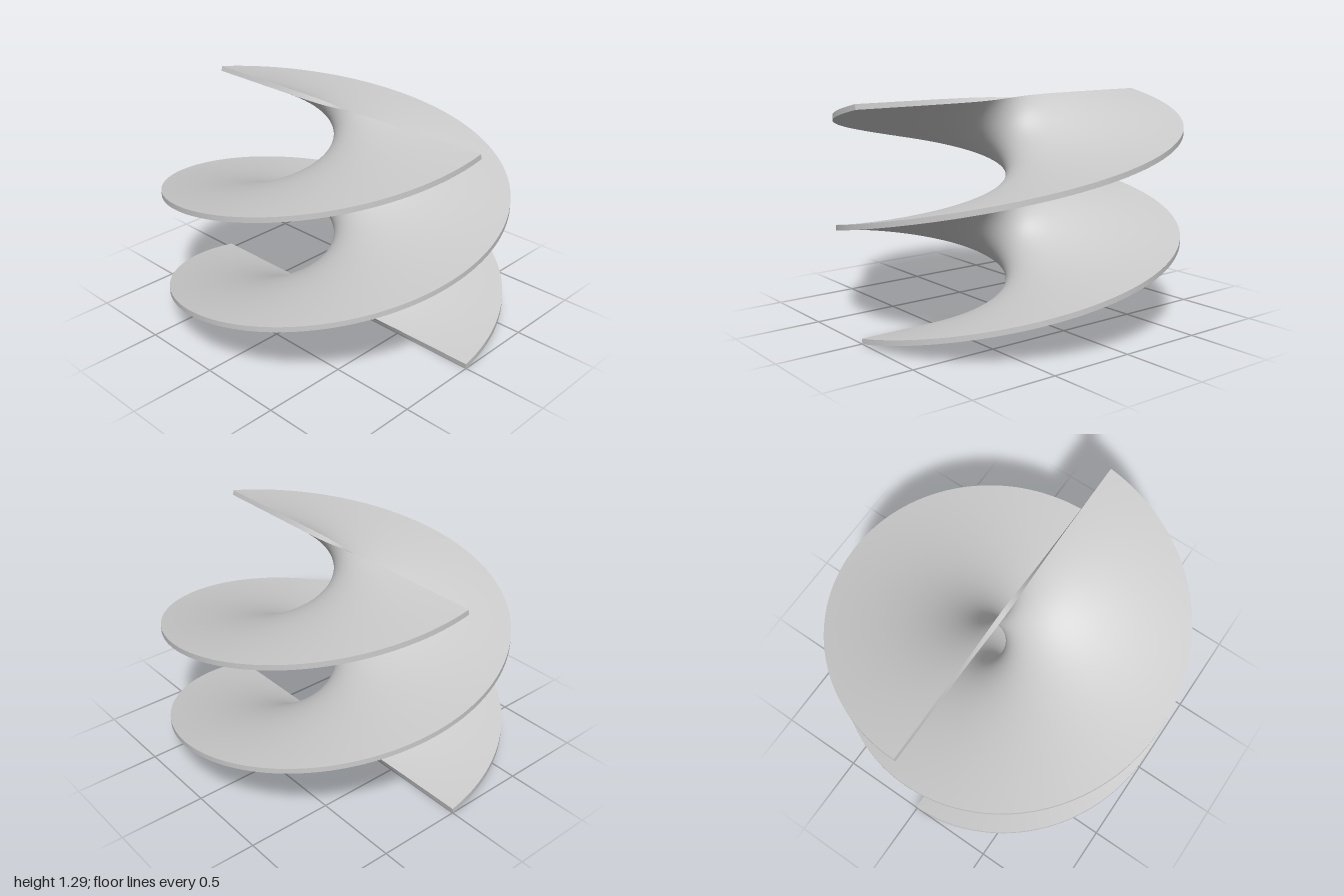
import * as THREE from 'three';

const RISE = 0.2;        // height gained per radian
const TURN = Math.PI * 2;
const THICKNESS = 0.03;

export function createModel() {
  const group = new THREE.Group();
  group.name = 'doubleHelicoid';

  // Thin slab: x runs across the blade, y along the twist, z through the thickness
  const geometry = new THREE.BoxGeometry(2, 1, THICKNESS, 64, 192, 1);
  const pos = geometry.attributes.position;
  const baseY = (THICKNESS / 2) / Math.hypot(1, RISE);

  // Twist the slab about the y axis, offsetting both sheets along the helicoid normal
  for (let i = 0; i < pos.count; i++) {
    const u = pos.getX(i);
    const angle = (pos.getY(i) + 0.5) * TURN;
    const s = Math.sin(angle), c = Math.cos(angle);
    const w = pos.getZ(i) / Math.hypot(u, RISE);
    pos.setXYZ(
      i,
      u * c + w * RISE * s,
      RISE * angle + w * u + baseY,
      -u * s + w * RISE * c
    );
  }
  geometry.computeVertexNormals();

  const blade = new THREE.Mesh(
    geometry,
    new THREE.MeshStandardMaterial({ color: 0xcccccc })
  );
  blade.name = 'spiralBlade';
  group.add(blade);
  return group;
}
